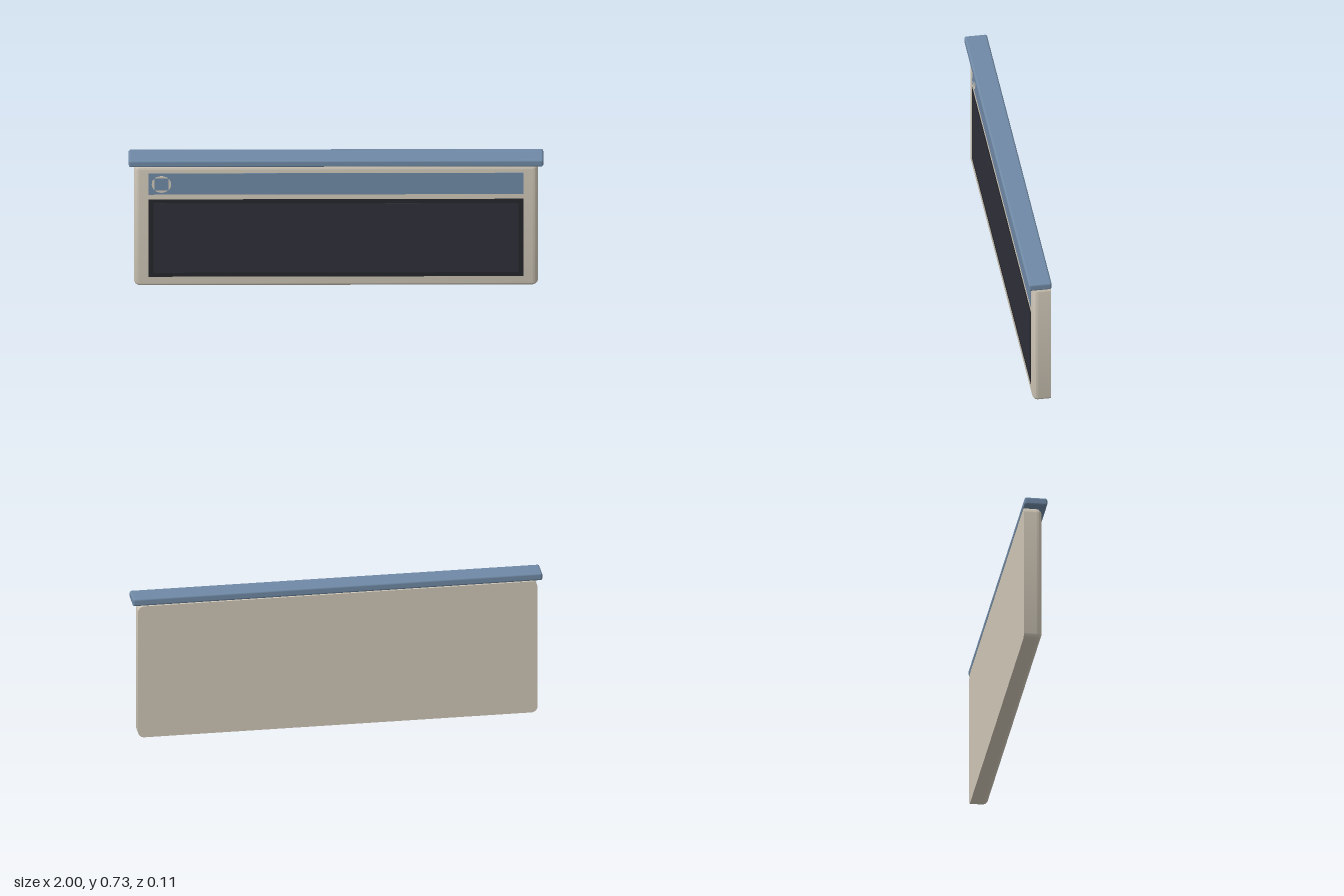
import * as THREE from 'three';
import { toCreasedNormals } from 'three/addons/utils/BufferGeometryUtils.js';
import { RoundedBoxGeometry } from 'three/addons/geometries/RoundedBoxGeometry.js';

const material = (name, color) => {
  const m = new THREE.MeshStandardMaterial({ color });
  m.name = name;
  return m;
};

// Rounded slab: flat back, rounded outline corners, front edge rolled over
function slabGeometry(halfW, height, back, front, corner, roll) {
  const loops = [[back, 0]];
  for (let i = 0; i <= 8; i++) {
    const a = (i / 8) * Math.PI / 2;
    loops.push([front - roll + roll * Math.sin(a), roll * (1 - Math.cos(a))]);
  }
  const steps = 6, n = 4 * (steps + 1);
  const positions = [], index = [];
  for (const [z, inset] of loops) {
    const r = corner - inset;
    for (let c = 0; c < 4; c++) {
      const sx = c === 0 || c === 3 ? 1 : -1, sy = c < 2 ? 1 : -1;
      for (let s = 0; s <= steps; s++) {
        const a = (c + s / steps) * Math.PI / 2;
        positions.push(
          sx * (halfW - corner) + r * Math.cos(a),
          height / 2 + sy * (height / 2 - corner) + r * Math.sin(a), z);
      }
    }
  }
  for (let i = 0; i < loops.length - 1; i++) {
    for (let j = 0; j < n; j++) {
      const k = (j + 1) % n, a = i * n + j, b = i * n + k;
      index.push(a, b, b + n, a, b + n, a + n);
    }
  }
  // Front and back caps
  const backCentre = positions.length / 3, frontCentre = backCentre + 1;
  positions.push(0, height / 2, back, 0, height / 2, front);
  const last = (loops.length - 1) * n;
  for (let j = 0; j < n; j++) {
    const k = (j + 1) % n;
    index.push(backCentre, k, j, frontCentre, last + j, last + k);
  }
  const g = new THREE.BufferGeometry();
  g.setAttribute('position', new THREE.Float32BufferAttribute(positions, 3));
  g.setIndex(index);
  return toCreasedNormals(g, 0.6);
}

export function createModel() {
  const group = new THREE.Group();
  const cream = material('cream', 0xd0c8b8);
  const blue = material('slateBlue', 0x6f89a5);
  const frameDark = material('frameDark', 0x25262c);
  const screenDark = material('screenDark', 0x2e2e38);

  const add = (name, geometry, mat, x, y, z, parent = group) => {
    const mesh = new THREE.Mesh(geometry, mat);
    mesh.name = name;
    mesh.position.set(x, y, z);
    parent.add(mesh);
    return mesh;
  };
  const face = 0.033;

  add('body', slabGeometry(0.975, 0.693, -0.055, face, 0.03, 0.027), cream, 0, 0, 0);
  add('topCap', new RoundedBoxGeometry(2, 0.039, 0.111, 4, 0.01), blue, 0, 0.7135, 0.0005);

  // Thin front panels
  const panel = (name, w, y0, y1, front, mat) =>
    add(name, new THREE.BoxGeometry(w, y1 - y0, 0.004), mat, 0, (y0 + y1) / 2, front - 0.002);
  panel('headerBand', 1.81, 0.527, 0.648, face + 0.0006, blue);
  panel('screenFrame', 1.81, 0.06, 0.5, face + 0.0006, frameDark);
  panel('screen', 1.76, 0.083, 0.476, face + 0.0012, screenDark);

  // Round badge: four circle segments around an open square
  const badge = new THREE.Group();
  badge.name = 'badge';
  badge.position.set(-0.842, 0.586, face);
  group.add(badge);
  const radius = 0.047, half = Math.acos(0.034 / radius);
  const segment = new THREE.Shape();
  segment.absarc(0, 0, radius, -half, half, false);
  segment.closePath();
  const segmentGeometry = new THREE.ExtrudeGeometry(segment, {
    depth: 0.002, bevelEnabled: false, curveSegments: 12,
  });
  for (let i = 0; i < 4; i++) {
    add('badgeSegment', segmentGeometry, cream, 0, 0, 0, badge).rotation.z = i * Math.PI / 2;
  }
  return group;
}
